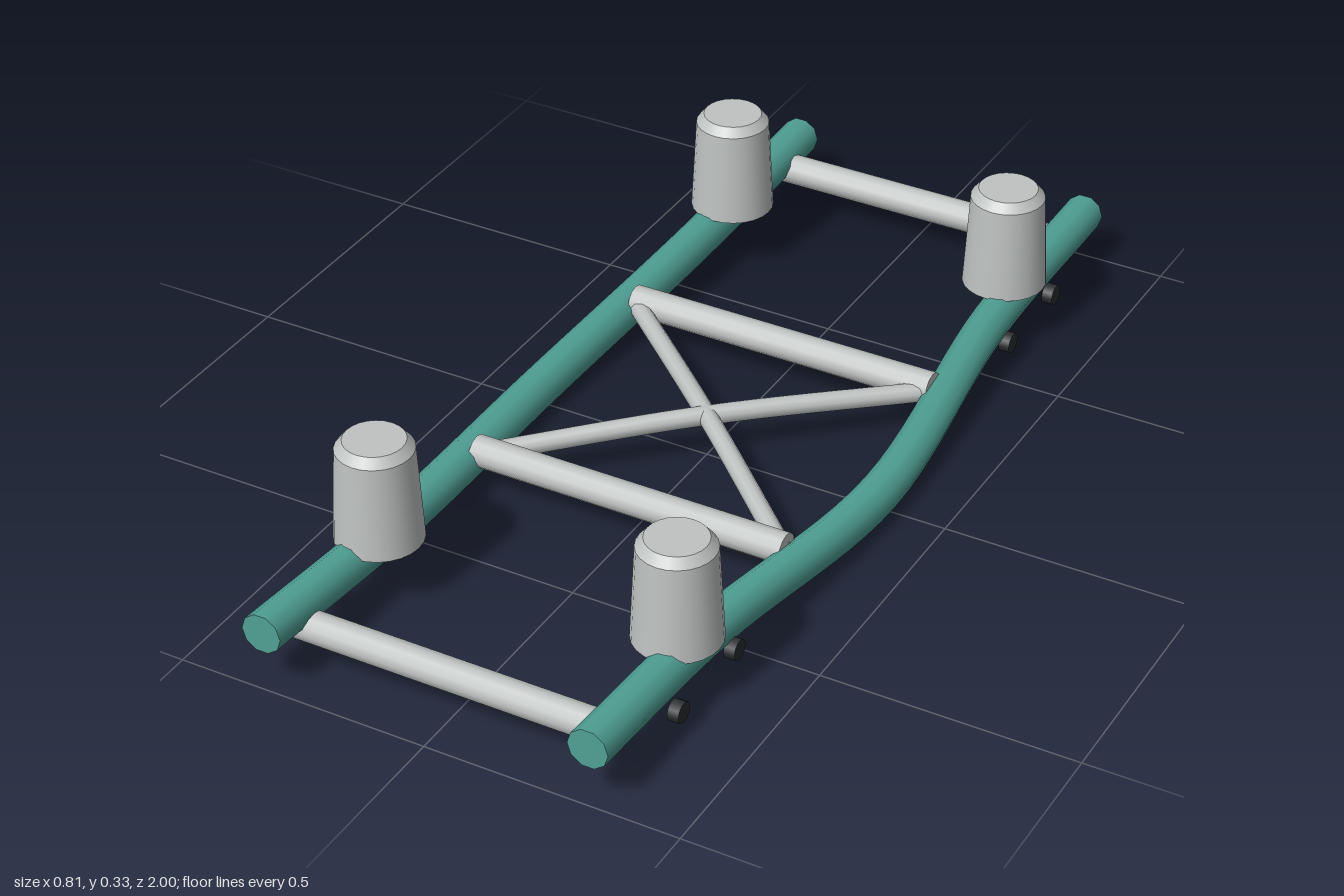
import * as THREE from 'three';

const V = (x, y, z) => new THREE.Vector3(x, y, z);

export function createModel() {
  const group = new THREE.Group();
  const teal = new THREE.MeshStandardMaterial({ name: 'teal paint', color: 0x4fa094 });
  const steel = new THREE.MeshStandardMaterial({ name: 'light steel', color: 0xbfc3c2 });
  const black = new THREE.MeshStandardMaterial({ name: 'black rubber', color: 0x2b2d2f });

  const add = (name, geometry, material, x = 0, y = 0, z = 0) => {
    const mesh = new THREE.Mesh(geometry, material);
    mesh.name = name;
    mesh.position.set(x, y, z);
    group.add(mesh);
    return mesh;
  };

  // Side rails: a ten-sided bar whose rings follow a dropped, bowed path
  const railGeometry = (side) => {
    const path = new THREE.CatmullRomCurve3([
      V(0.325, 0.1215, 1), V(0.325, 0.088, 0.57), V(0.366, 0.0385, 0),
      V(0.325, 0.086, -0.55), V(0.325, 0.102, -1),
    ]);
    const g = new THREE.CylinderGeometry(0.0395, 0.0395, 2, 10, 40);
    g.rotateY(Math.PI / 2).rotateX(Math.PI / 2);
    const p = g.attributes.position;
    for (let i = 0; i < p.count; i++) {
      const c = path.getPoint(THREE.MathUtils.clamp((1 - p.getZ(i)) / 2, 0, 1));
      p.setXYZ(i, p.getX(i) + side * c.x, p.getY(i) + c.y, c.z);
    }
    return g;
  };

  // Spring tower profile: tapered cup with a chamfered top
  const towerProfile = [
    [0, 0], [0.083, 0], [0.083, 0], [0.073, 0.19], [0.073, 0.19],
    [0.058, 0.208], [0.058, 0.208], [0, 0.208],
  ].map(([r, y]) => new THREE.Vector2(r, y));
  const towerGeometry = new THREE.LatheGeometry(towerProfile, 24);

  // Suspension bushings lie along x
  const bushingGeometry = new THREE.CylinderGeometry(0.021, 0.021, 0.022, 10);
  bushingGeometry.rotateZ(Math.PI / 2);

  for (const side of [1, -1]) {
    const label = side > 0 ? 'left' : 'right';
    add(label + 'Rail', railGeometry(side), teal);
    for (const z of [0.657, -0.66]) {
      add(label + 'SpringTower', towerGeometry, steel, side * 0.304, 0.122, z);
    }
    for (const z of [0.76, 0.56, -0.56, -0.76]) {
      add(label + 'Bushing', bushingGeometry, black, side * 0.363, 0.05, z);
    }
  }

  // Straight cross members
  const barGeometry = new THREE.CylinderGeometry(0.031, 0.031, 0.65, 12);
  barGeometry.rotateZ(Math.PI / 2);
  for (const z of [0.895, 0.295, -0.3, -0.9]) {
    add('crossMember', barGeometry, steel, 0, 0.081, z);
  }

  // Slightly arched X brace
  for (const side of [1, -1]) {
    const path = new THREE.CatmullRomCurve3([
      V(side * 0.32, 0.075, 0.295), V(0, 0.09, 0), V(-side * 0.32, 0.075, -0.295),
    ]);
    add('diagonalBrace', new THREE.TubeGeometry(path, 16, 0.019, 10), steel);
  }

  return group;
}
